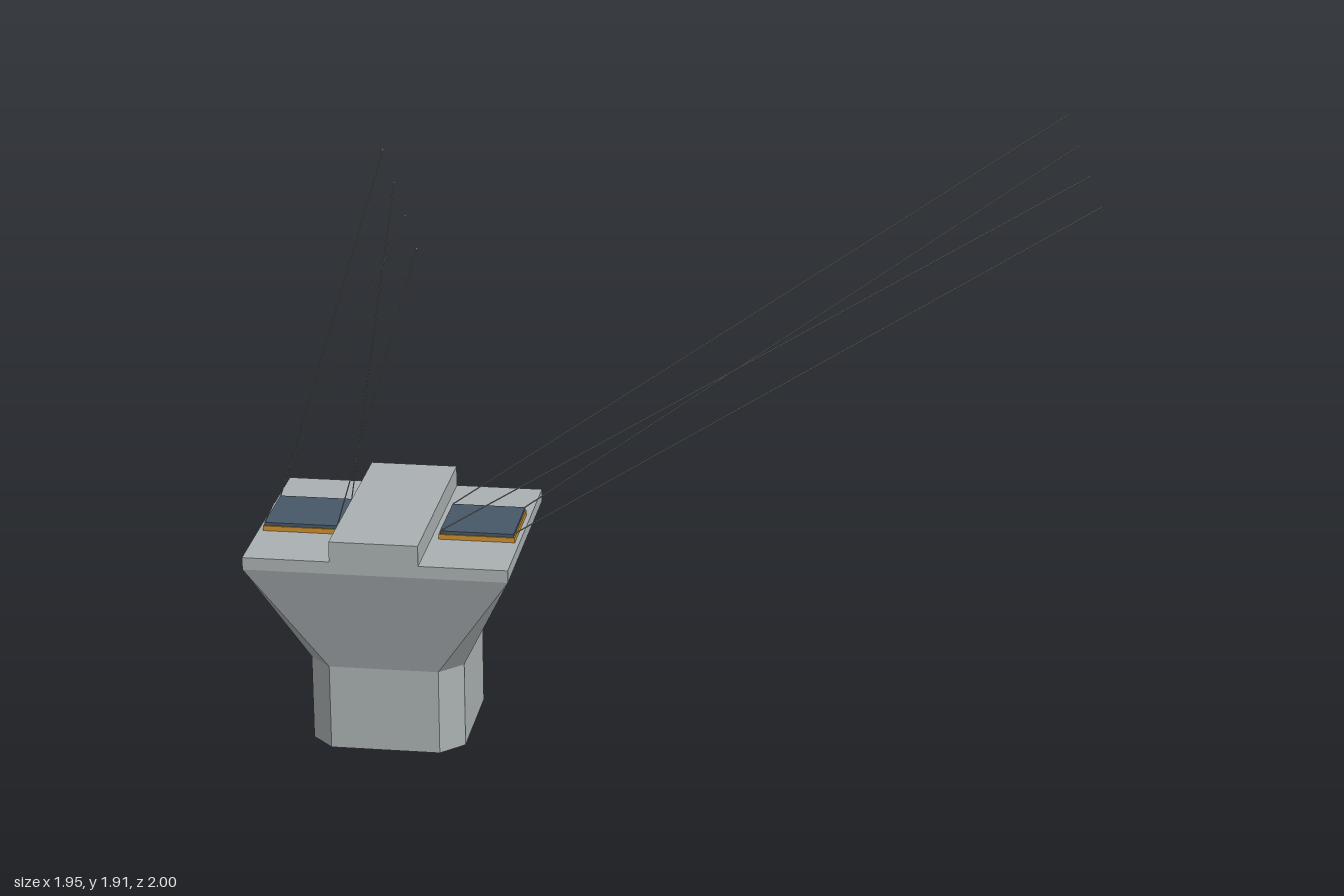
import * as THREE from 'three';
import { ConvexGeometry } from 'three/addons/geometries/ConvexGeometry.js';

const material = (name, color) => {
  const m = new THREE.MeshStandardMaterial({ color });
  m.name = name;
  return m;
};

const CX = -0.661, CZ = -0.739; // pier axis

export function createModel() {
  const concrete = material('concrete grey', 0xaab0b2);
  const slate = material('slate blue', 0x465866);
  const amber = material('amber', 0xd0902c);
  const cableGrey = material('cable grey', 0xc8cccc);

  const model = new THREE.Group();
  model.name = 'pier';

  const add = (name, geometry, mat, x = 0, y = 0, z = 0, parent = model) => {
    const mesh = new THREE.Mesh(geometry, mat);
    mesh.name = name;
    mesh.position.set(x, y, z);
    parent.add(mesh);
    return mesh;
  };

  // Square with cut corners (or plain rectangle when cut is 0) at a given height
  const ring = (hx, hz, cut, y) => {
    const points = [];
    for (const sx of [-1, 1]) for (const sz of [-1, 1]) {
      points.push(new THREE.Vector3(sx * hx, y, sz * (hz - cut)));
      if (cut) points.push(new THREE.Vector3(sx * (hx - cut), y, sz * hz));
    }
    return points;
  };

  // Pier: chamfered column, flared head, cap slab and raised middle strip
  const foot = ring(0.184, 0.185, 0.053, 0);
  const neck = ring(0.184, 0.185, 0.053, 0.21);
  const brim = ring(0.313, 0.262, 0, 0.48);
  add('column', new ConvexGeometry([...foot, ...neck]), concrete, CX, 0, CZ);
  add('flaredHead', new ConvexGeometry([...neck, ...brim]), concrete, CX, 0, CZ);
  add('capSlab', new THREE.BoxGeometry(0.626, 0.03, 0.524), concrete, CX, 0.495, CZ);
  add('middleStrip', new THREE.BoxGeometry(0.21, 0.05, 0.524), concrete, CX - 0.002, 0.535, CZ);

  // Thin cable between two points
  const cable = (from, to, parent) => {
    const dir = to.clone().sub(from);
    const mesh = add('cable', new THREE.CylinderGeometry(0.0015, 0.0015, dir.length(), 6), cableGrey, 0, 0, 0, parent);
    mesh.position.copy(from).addScaledVector(dir, 0.5);
    mesh.quaternion.setFromUnitVectors(new THREE.Vector3(0, 1, 0), dir.normalize());
  };

  // Bearing pads, each with four cables running from its corners;
  // first and last are the outer cable ends, the others lie evenly between
  const pads = [
    { name: 'rightPad', x: -0.871, first: [-0.341, 1.91, 0.9], last: [-0.263, 1.755, 1.0] },
    { name: 'leftPad', x: -0.45, first: [0.893, 1.79, 0.07], last: [0.97, 1.63, 0.167] },
  ];
  for (const { name, x, first, last } of pads) {
    const pad = new THREE.Group();
    pad.name = name;
    model.add(pad);
    add('padBase', new THREE.BoxGeometry(0.182, 0.012, 0.182), amber, x, 0.516, -0.74, pad);
    add('padTop', new THREE.BoxGeometry(0.176, 0.008, 0.176), slate, x, 0.526, -0.74, pad);
    const a = new THREE.Vector3(...first), b = new THREE.Vector3(...last);
    for (let i = 0; i < 4; i++) {
      const sx = i % 2 ? 1 : -1, sz = i < 2 ? -1 : 1;
      const corner = new THREE.Vector3(x + sx * 0.087, 0.53, -0.74 + sz * 0.087);
      cable(corner, a.clone().lerp(b, i / 3), pad);
    }
  }
  return model;
}
